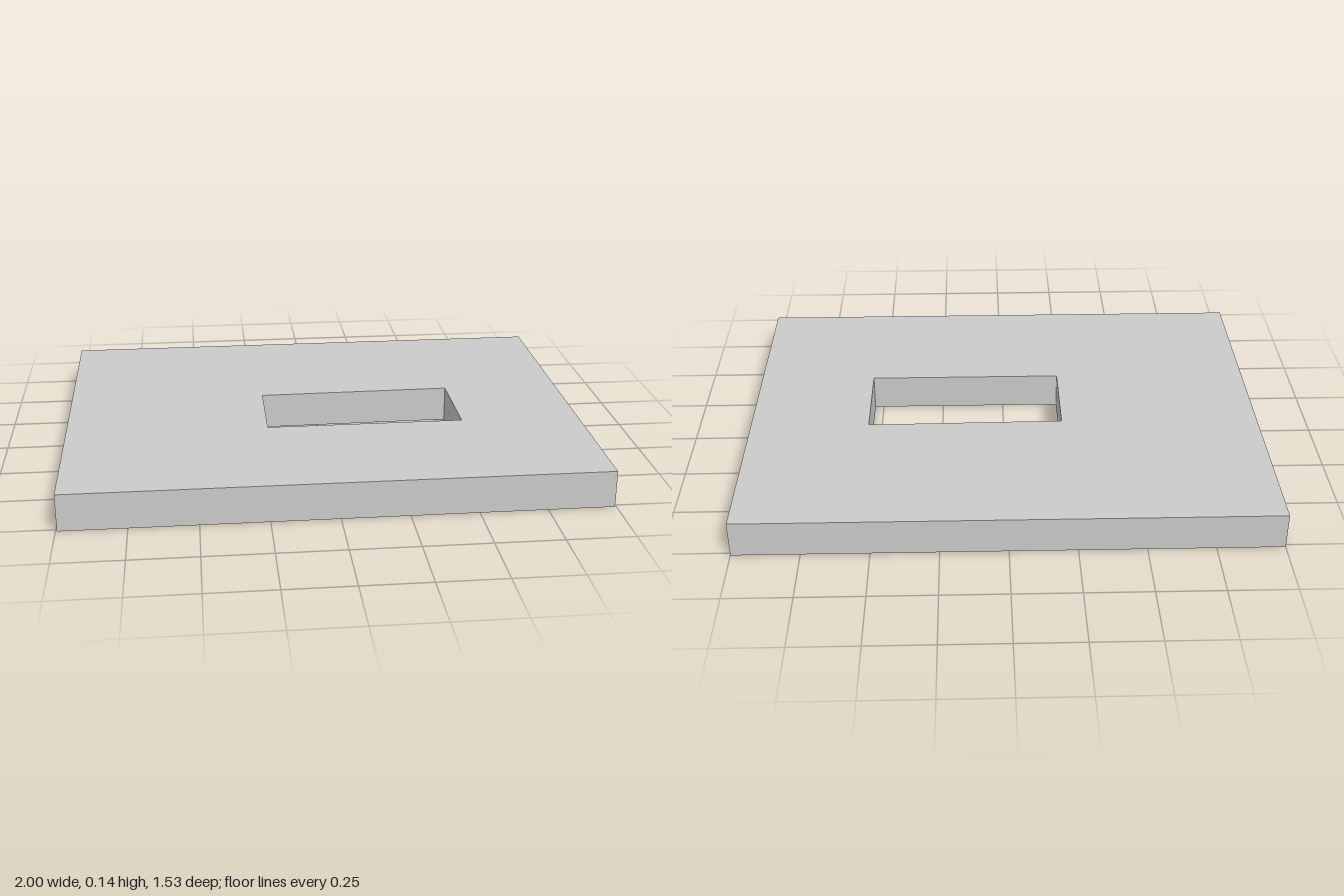
import * as THREE from 'three';

// Plan outlines as [x, z] corners
const OUTER = [[-0.995, 0.763], [0.995, 0.763], [1, -0.763], [-1, -0.763]];
const OPENING = [[-0.225, 0.225], [-0.225, -0.12], [0.535, -0.13], [0.535, 0.225]];
const THICKNESS = 0.14;

const toPoints = (corners) => corners.map(([x, z]) => new THREE.Vector2(x, -z));

export function createModel() {
  const group = new THREE.Group();
  group.name = 'slabWithOpening';

  // Flat slab with an off-centre, slightly skewed rectangular opening
  const outline = new THREE.Shape(toPoints(OUTER));
  outline.holes.push(new THREE.Path(toPoints(OPENING)));
  const geometry = new THREE.ExtrudeGeometry(outline, { depth: THICKNESS, bevelEnabled: false });
  geometry.rotateX(-Math.PI / 2); // lay the plan flat, thickness upwards

  const slab = new THREE.Mesh(
    geometry,
    new THREE.MeshStandardMaterial({ color: 0xcccccc, flatShading: true })
  );
  slab.name = 'slab';
  group.add(slab);
  return group;
}
